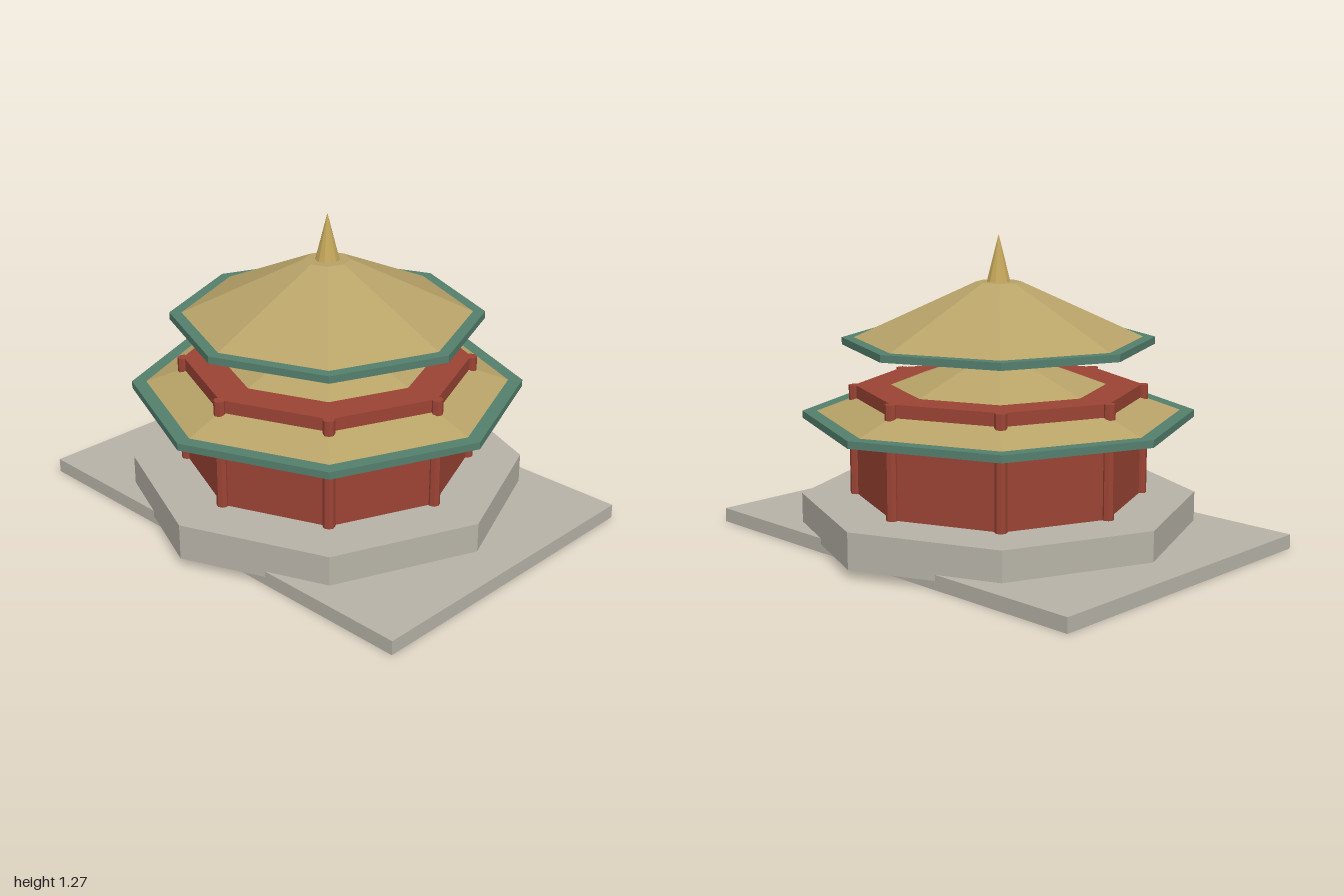
import * as THREE from 'three';

const paint = (name, color) => {
  const m = new THREE.MeshStandardMaterial({ color, flatShading: true });
  m.name = name;
  return m;
};

export function createModel() {
  const stone = paint('stone', 0xb8b4a9);
  const red = paint('red lacquer', 0x9c4434);
  const green = paint('green trim', 0x54806e);
  const gold = paint('roof tile', 0xb8a368);
  const finialGold = paint('finial gold', 0xc4a75a);

  const model = new THREE.Group();
  model.name = 'pavilion';

  const add = (name, geometry, material, x, y, z) => {
    const mesh = new THREE.Mesh(geometry, material);
    mesh.name = name;
    mesh.position.set(x, y, z);
    model.add(mesh);
  };
  // Tapered prism from height y0 to y1, with a corner on each axis
  const prism = (name, material, rBottom, rTop, y0, y1, sides = 8, x = 0, z = 0) =>
    add(name, new THREE.CylinderGeometry(rTop, rBottom, y1 - y0, sides), material, x, (y0 + y1) / 2, z);

  // Stone base
  add('groundSlab', new THREE.BoxGeometry(2, 0.06, 1.38), stone, 0, 0.03, 0);
  prism('platform', stone, 0.83, 0.83, 0.035, 0.185);

  // Hall with a column at each corner
  prism('hallWalls', red, 0.6, 0.6, 0.185, 0.65);
  for (let i = 0; i < 8; i++) {
    const a = (i * Math.PI) / 4;
    prism('column', red, 0.025, 0.025, 0.185, 0.65, 8, 0.6 * Math.sin(a), 0.6 * Math.cos(a));
  }

  // Lower roof
  prism('lowerEave', green, 0.82, 0.82, 0.51, 0.54);
  prism('lowerRoof', gold, 0.76, 0.095, 0.54, 0.775);

  // Upper roof and finial
  prism('upperEave', green, 0.65, 0.65, 0.82, 0.85);
  prism('upperRoof', gold, 0.6, 0.095, 0.85, 1.08);
  prism('finial', finialGold, 0.05, 0, 1.08, 1.275, 12);

  return model;
}
